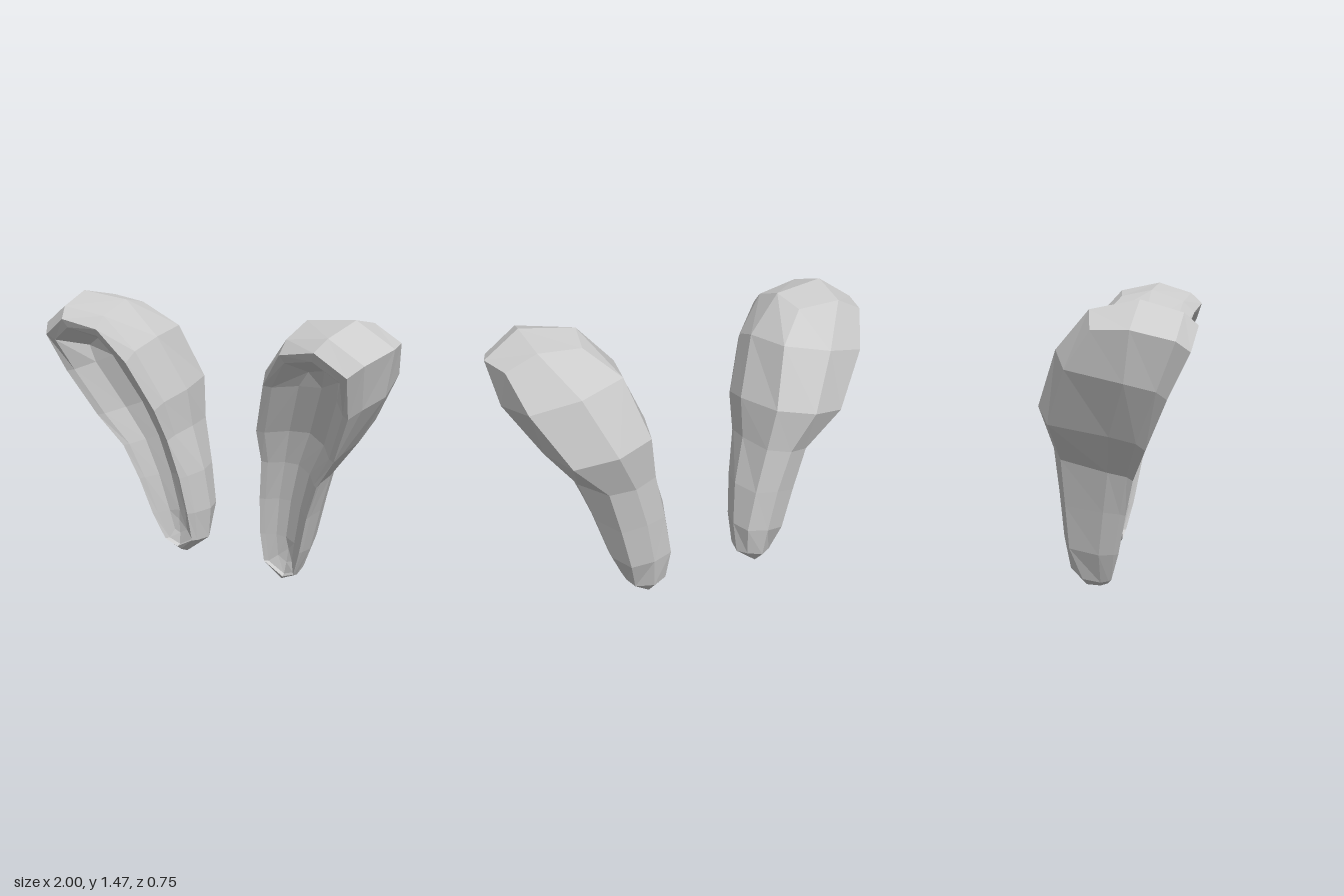
import * as THREE from 'three';

const V = (a) => new THREE.Vector3(...a);
const mix = (a, b, t) => a.clone().lerp(b, t);

// Each loop runs: tip, outer side upward (7), crown, inner side downward (7).
// Front edge of the opening
const lip = [
  [.35, .035, -.06], [.425, .07, -.045], [.48, .22, -.005], [.54, .43, .035], [.615, .62, .075],
  [.74, .79, .14], [.86, 1.04, .24], [.90, 1.25, .34], [.75, 1.35, .37], [.55, 1.31, .33],
  [.42, 1.14, .26], [.32, .88, .16], [.30, .70, .08], [.26, .48, .03], [.24, .27, -.01], [.24, .10, -.05],
].map(V);
// Widest outline of the ear
const side = [
  [.32, 0, -.11], [.415, .05, -.1], [.49, .215, -.1], [.56, .45, -.07], [.63, .66, -.04],
  [.785, .86, -.02], [.95, 1.12, .06], [1, 1.35, .09], [.82, 1.465, .12], [.55, 1.435, .09],
  [.38, 1.25, .05], [.27, .96, -.06], [.265, .75, -.1], [.21, .50, -.13], [.19, .27, -.16], [.21, .09, -.17],
].map(V);
// Crease where the sides turn onto the back
const crease = [
  [.32, .005, -.18], [.40, .06, -.19], [.44, .23, -.25], [.49, .46, -.26], [.55, .70, -.27],
  [.73, .90, -.30], [.89, 1.17, -.20], [.95, 1.345, -.08], [.80, 1.42, -.10], [.58, 1.40, -.08],
  [.43, 1.27, -.20], [.34, .98, -.31], [.31, .75, -.28], [.26, .50, -.27], [.225, .27, -.26], [.245, .10, -.23],
].map(V);
// Ridge down the middle of the back, base to crown
const ridge = [
  [.32, .09, -.26], [.33, .26, -.29], [.37, .50, -.305], [.43, .73, -.32], [.53, .95, -.375], [.66, 1.23, -.27],
].map(V);

// Row of a loop point: -1 at the tip, 0..6 up the sides, 7 at the crown
const N = lip.length;
const rowOf = (j) => (j <= 8 ? j - 1 : 15 - j);
const clampRow = (j) => Math.min(5, Math.max(0, rowOf(j)));

function earLoops() {
  // Middle of the opening, and the shallow floor line a little behind it
  const mid = ridge.map((_, i) => mix(lip[i + 1], lip[15 - i], 0.5));
  const floorLine = ridge.map((p, i) => mix(p, mid[i], 0.72));
  floorLine[0].lerp(floorLine[1], 0.6);
  floorLine[0].x += 0.02;

  // Back: both halves close on the ridge, the crown and the tip
  const back = lip.map((_, j) => {
    const r = rowOf(j);
    return r < 0 ? crease[0] : r > 5 ? crease[8] : ridge[r];
  });
  // Rounded bevel between the lip and the sides
  const bevel = lip.map((p, j) => {
    const q = mix(p, side[j], 0.5);
    q.z = p.z + (side[j].z - p.z) * 0.25;
    return q;
  });
  // Inner edge of the lip, then the bowl-shaped wall and floor of the hollow
  const inset = lip.map((p, j) => {
    const q = mix(p, mid[clampRow(j)], 0.17);
    q.z = p.z - 0.02;
    return q;
  });
  const floor = lip.map((_, j) => floorLine[clampRow(j)]);
  const wall = inset.map((p, j) => {
    const q = mix(p, floor[j], 0.45);
    q.z = p.z + (floor[j].z - p.z) * 0.75;
    return q;
  });
  return [floor, wall, inset, lip, bevel, side, crease, back];
}

// Skin neighbouring loops; sign mirrors the ear across x = 0
function earGeometry(sign) {
  const loops = earLoops();
  const out = [];
  const tri = (a, b, c) => {
    const area = b.clone().sub(a).cross(c.clone().sub(a)).length();
    if (area < 1e-7) return;
    for (const p of sign > 0 ? [a, b, c] : [a, c, b]) out.push(p.x * sign, p.y, p.z);
  };
  for (let k = 0; k < loops.length - 1; k++) {
    for (let j = 0; j < N; j++) {
      const n = (j + 1) % N;
      const a = loops[k][j], b = loops[k + 1][j], c = loops[k + 1][n], d = loops[k][n];
      tri(a, b, c);
      tri(a, c, d);
    }
  }
  const g = new THREE.BufferGeometry();
  g.setAttribute('position', new THREE.Float32BufferAttribute(out, 3));
  g.computeVertexNormals();
  return g;
}

export function createModel() {
  const group = new THREE.Group();
  group.name = 'ears';
  const material = new THREE.MeshStandardMaterial({ color: 0xcccccc, flatShading: true });
  for (const [name, sign] of [['leftEar', 1], ['rightEar', -1]]) {
    const ear = new THREE.Mesh(earGeometry(sign), material);
    ear.name = name;
    group.add(ear);
  }
  return group;
}
